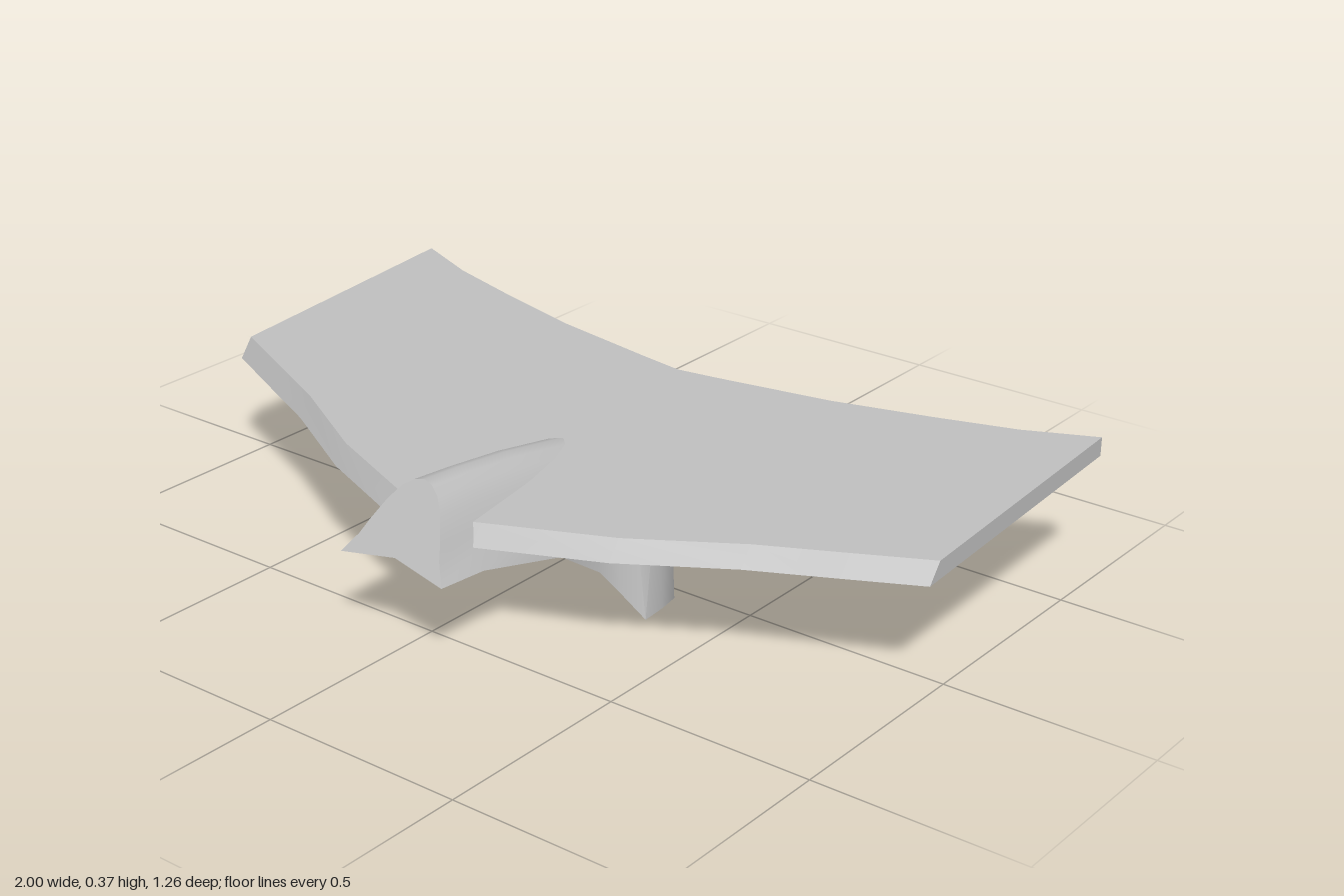
import * as THREE from 'three';
import { toCreasedNormals } from 'three/addons/utils/BufferGeometryUtils.js';

const grey = new THREE.MeshStandardMaterial({ color: 0xc0c0c0, side: THREE.DoubleSide });
grey.name = 'light grey';

// Sheet through rows of equal-length cross-sections; optionally closed around and capped
function loft(rows, { closed = false, caps = false, crease = 0.6 } = {}) {
  const n = rows[0].length;
  const index = [];
  const spans = closed ? n : n - 1;
  for (let i = 0; i < rows.length - 1; i++) {
    for (let j = 0; j < spans; j++) {
      const a = i * n + j, b = i * n + (j + 1) % n;
      index.push(a, a + n, b, b, a + n, b + n);
    }
  }
  if (caps) {
    const e = (rows.length - 1) * n;
    for (let j = 1; j < n - 1; j++) index.push(0, j, j + 1, e, e + j + 1, e + j);
  }
  const geometry = new THREE.BufferGeometry();
  geometry.setAttribute('position', new THREE.Float32BufferAttribute(rows.flat(2), 3));
  geometry.setIndex(index);
  return toCreasedNormals(geometry, crease);
}

// Mirrors a half list of points across x = 0
const mirrored = (half) => [...half.slice(1).reverse().map(([x, ...r]) => [-x, ...r]), ...half];

function addPart(group, name, geometry) {
  const mesh = new THREE.Mesh(geometry, grey);
  mesh.name = name;
  group.add(mesh);
}

// Wing: tilted slab, [x, leading z, trailing z]
function wingGeometry() {
  const stations = mirrored([
    [0, 0.5, -0.39], [0.11, 0.455, -0.405], [0.395, 0.342, -0.45],
    [0.64, 0.207, -0.51], [0.83, 0.122, -0.562], [1, 0.045, -0.63],
  ]);
  const top = (z) => 0.28 + (0.455 - z) * 0.069;
  const bottom = (z) => 0.235 + (0.485 - z) * 0.067;
  const rows = stations.map(([x, lead, trail]) => [
    [x, top(lead), lead], [x, top(trail), trail],
    [x, bottom(trail), trail], [x, bottom(lead + 0.035), lead + 0.035],
  ]);
  return loft(rows, { closed: true, caps: true, crease: 0.4 });
}

// Hood: arch with a lengthening skirt, [top z, top y, bottom z, bottom y]
const hoodSections = [
  [0.512, 0.372, 0.626, 0.2], [0.4, 0.362, 0.49, 0.19], [0.24, 0.343, 0.24, 0.125],
  [0.05, 0.31, 0.07, 0.055], [-0.02, 0.29, -0.057, 0],
];
const archDrop = [[0, 0], [0.025, 0.006], [0.05, 0.022], [0.075, 0.053], [0.1, 0.098], [0.115, 0.13]];

function hoodRow([zTop, yTop, zBottom, yBottom]) {
  const height = yTop - yBottom;
  const half = [...archDrop, [0.145, height]].map(([x, drop]) =>
    [x, yTop - drop, zTop + (zBottom - zTop) * drop / height]);
  return mirrored(half);
}

// Flat panel filling an arch down to a bottom edge with a middle point
function panelGeometry(section, lift, flip) {
  const row = hoodRow(section);
  const [zTop, yTop, zBottom, yBottom] = section;
  const mid = [0, yBottom + lift, zBottom + (zTop - zBottom) * lift / (yTop - yBottom)];
  const fan = row.map(() => mid);
  return loft(flip ? [fan, row] : [row, fan]);
}

// Pod skirt: [top x, top z, bottom x, bottom y, bottom z], front round to back
const podPath = [
  [0.115, 0.245, 0.145, 0.13, 0.24], [0.24, 0.245, 0.26, 0.123, 0.236],
  [0.285, 0.225, 0.305, 0.075, 0.215], [0.31, 0.18, 0.353, 0.018, 0.19],
  [0.325, 0.12, 0.345, 0.015, 0.12], [0.318, 0.06, 0.332, 0.012, 0.057],
  [0.285, 0.015, 0.295, 0.025, 0.015], [0.24, 0, 0.255, 0.036, -0.01],
  [0.115, 0, 0.145, 0.02, -0.013],
];

function podGeometry(side) {
  const upper = podPath.map(([x, z]) => [side * x, 0.28, z]);
  const lower = podPath.map(([, , x, y, z]) => [side * x, y, z]);
  return loft(side > 0 ? [upper, lower] : [lower, upper], { crease: 0.9 });
}

export function createModel() {
  const model = new THREE.Group();
  model.name = 'glider';
  addPart(model, 'wing', wingGeometry());
  addPart(model, 'noseHood', loft(hoodSections.map(hoodRow), { crease: 0.8 }));
  addPart(model, 'nosePanel', panelGeometry(hoodSections[0], 0.022, true));
  addPart(model, 'rearPanel', panelGeometry(hoodSections[4], 0, false));
  addPart(model, 'leftPod', podGeometry(1));
  addPart(model, 'rightPod', podGeometry(-1));
  return model;
}
